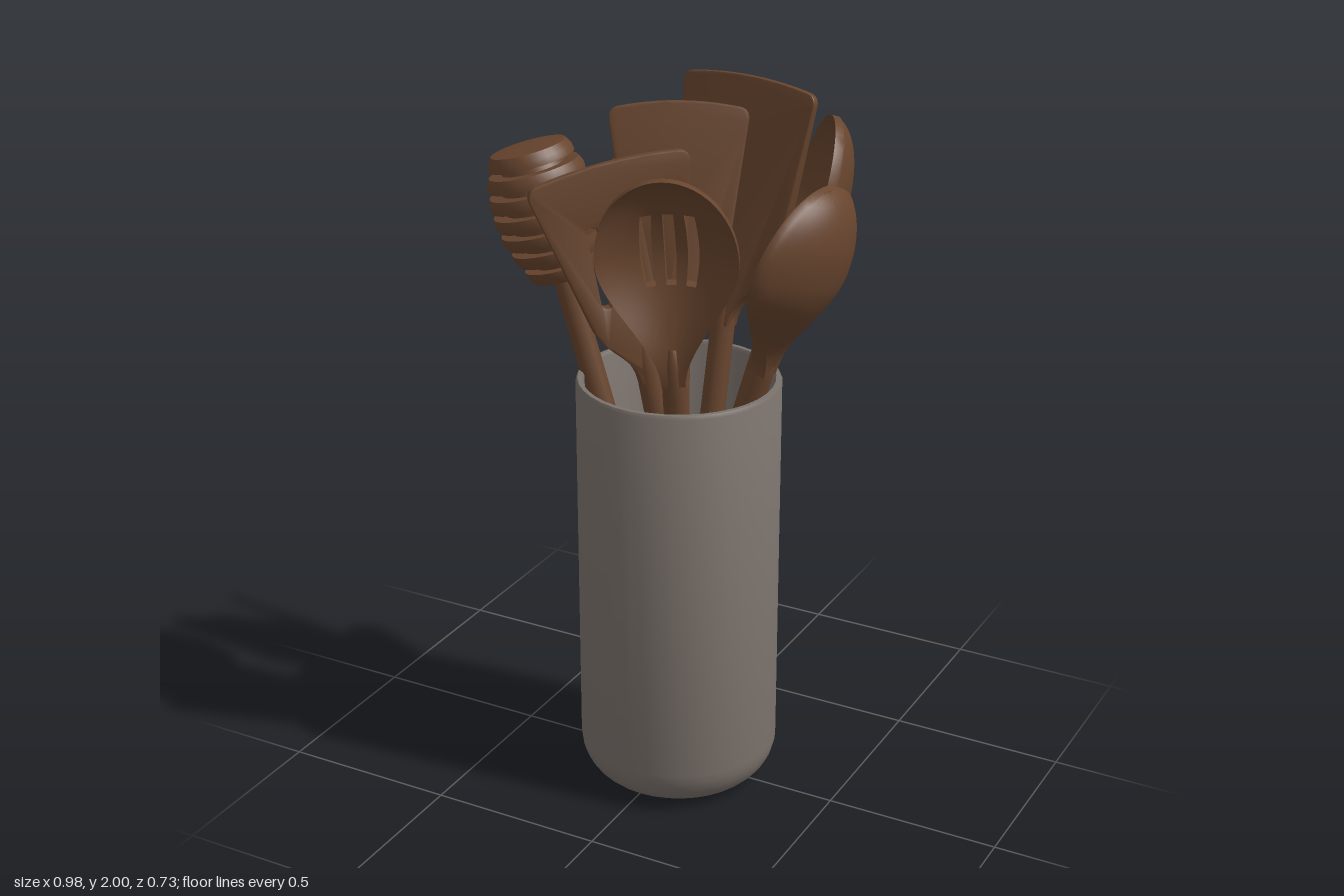
import * as THREE from 'three';
import { toCreasedNormals } from 'three/addons/utils/BufferGeometryUtils.js';

const V2 = (x, y) => new THREE.Vector2(x, y);
const wood = new THREE.MeshStandardMaterial({ color: 0x68452e });
wood.name = 'dark wood';
const stone = new THREE.MeshStandardMaterial({ color: 0x7b726c });
stone.name = 'grey stoneware';

function part(name, geometry, material = wood) {
  const mesh = new THREE.Mesh(geometry, material);
  mesh.name = name;
  return mesh;
}

// Group whose local y runs from bottom to top and whose local z turns to the facing direction
function utensil(name, bottom, top, facing, build) {
  const a = new THREE.Vector3(...bottom), b = new THREE.Vector3(...top);
  const y = b.clone().sub(a), length = y.length();
  y.normalize();
  const x = y.clone().cross(new THREE.Vector3(...facing)).normalize();
  const group = new THREE.Group();
  group.name = name;
  group.add(...build(length));
  group.quaternion.setFromRotationMatrix(new THREE.Matrix4().makeBasis(x, y, x.clone().cross(y)));
  group.position.copy(a);
  return group;
}

// Round stick with a domed foot and a tapering upper end
function handle(length) {
  const pts = [V2(0, 0), V2(0.018, 0.005), V2(0.03, 0.022), V2(0.034, 0.05),
    V2(0.036, length * 0.6), V2(0.034, length - 0.12), V2(0.026, length - 0.05), V2(0.012, length), V2(0, length)];
  return part('handle', new THREE.LatheGeometry(pts, 16));
}

// Flat blade, thinner towards its tip, with optional slots
function spatula(half, ratio, bladeLength, slots = false) {
  return (L) => {
    const low = half * ratio, yTop = L - 0.02, yLow = L - bladeLength * 0.68, yNeck = L - bladeLength;
    const s = new THREE.Shape();
    s.moveTo(-0.03, yNeck);
    s.lineTo(0.03, yNeck);
    s.bezierCurveTo(0.035, yNeck + 0.1, low * 0.85, yLow - 0.1, low, yLow);
    s.lineTo(half - 0.006, yTop - 0.04);
    s.quadraticCurveTo(half, yTop - 0.005, half - 0.035, yTop);
    s.quadraticCurveTo(0, yTop + 0.03, -half + 0.035, yTop);
    s.quadraticCurveTo(-half, yTop - 0.005, -half + 0.006, yTop - 0.04);
    s.lineTo(-low, yLow);
    s.bezierCurveTo(-low * 0.85, yLow - 0.1, -0.035, yNeck + 0.1, -0.03, yNeck);
    if (slots) {
      for (const x of [-0.075, 0, 0.075]) {
        const hole = new THREE.Path();
        hole.absarc(x, L - 0.18, 0.016, 0, Math.PI, false);
        hole.absarc(x, L - 0.37, 0.016, Math.PI, Math.PI * 2, false);
        hole.closePath();
        s.holes.push(hole);
      }
    }
    const g = new THREE.ExtrudeGeometry(s, {
      depth: 0.024, bevelEnabled: true, bevelSize: 0.005, bevelThickness: 0.005, bevelOffset: -0.005,
      bevelSegments: 2, curveSegments: 10,
    });
    g.translate(0, 0, -0.012);
    const p = g.attributes.position;
    for (let i = 0; i < p.count; i++) {
      const t = (p.getY(i) - yNeck) / bladeLength;
      p.setZ(i, p.getZ(i) * (1.6 - 1.0 * t));
    }
    return [handle(yNeck + 0.16), part('blade', toCreasedNormals(g, 0.6))];
  };
}

// Hollow bowl from cross-sections; cells left out of the grid become slots
function spoon(half, tipLength, lowLength, depth, slots = false) {
  return (L) => {
    const cols = 24, lowRows = 18, rows = 32, neck = 0.032;
    const sections = [];
    for (let i = 0; i <= rows; i++) {
      if (i <= lowRows) {
        const t = i / lowRows;
        sections.push({ y: L - tipLength - lowLength * (1 - t), w: neck + (half - neck) * t * t * (3 - 2 * t) });
      } else {
        const a = ((i - lowRows) / (rows - lowRows)) * Math.PI / 2;
        sections.push({ y: L - tipLength + tipLength * Math.sin(a), w: Math.max(half * Math.cos(a), 0.001) });
      }
    }
    const point = (i, j, side) => {
      const { y, w } = sections[i], u = (j / cols) * 2 - 1;
      const f = Math.max(0, (w - neck) / (half - neck));
      const h = 0.011 + 0.016 * Math.max(0, 1 - i / lowRows);
      return [u * w, y, -depth * f * (1 - u * u) + side * h];
    };
    const kept = (i, j) => {
      if (i < 0 || j < 0 || i >= rows || j >= cols) return false;
      if (!slots) return true;
      const y = L - (sections[i].y + sections[i + 1].y) / 2;
      return !(y > 0.12 && y < 0.34 && [7, 8, 11, 12, 15, 16].includes(j));
    };
    const verts = [];
    const quad = (a, b, c, d) => verts.push(...a, ...b, ...c, ...a, ...c, ...d);
    for (let i = 0; i < rows; i++) {
      for (let j = 0; j < cols; j++) {
        if (!kept(i, j)) continue;
        const c = [[i, j], [i, j + 1], [i + 1, j + 1], [i + 1, j]];
        const front = c.map((k) => point(...k, 1)), back = c.map((k) => point(...k, -1));
        quad(...front);
        quad(back[3], back[2], back[1], back[0]);
        [[i - 1, j], [i, j + 1], [i + 1, j], [i, j - 1]].forEach((n, e) => {
          const q = (e + 1) % 4;
          if (!kept(...n)) quad(back[e], back[q], front[q], front[e]);
        });
      }
    }
    const g = new THREE.BufferGeometry();
    g.setAttribute('position', new THREE.Float32BufferAttribute(verts, 3));
    return [handle(L - tipLength - lowLength + 0.1), part('bowl', toCreasedNormals(g, 0.9))];
  };
}

// Barrel-shaped head cut by ring grooves
function dipper(L) {
  const size = 0.38, rings = 7, base = L - size, pts = [V2(0, base)];
  const radius = (t) => 0.083 + 0.063 * Math.sin(Math.PI * Math.min(1, t * 0.88 + 0.03));
  for (let i = 0; i < rings; i++) {
    const t0 = i / rings, t1 = (i + 0.68) / rings, t2 = (i + 1) / rings;
    pts.push(V2(radius(t0) - 0.004, base + t0 * size), V2(radius((t0 + t1) / 2), base + size * (t0 + t1) / 2),
      V2(radius(t1) - 0.004, base + t1 * size));
    if (i < rings - 1) pts.push(V2(radius(t1) - 0.04, base + t1 * size), V2(radius(t2) - 0.04, base + t2 * size));
  }
  pts.push(V2(0, pts[pts.length - 1].y + 0.012));
  return [handle(base + 0.1), part('groovedHead', toCreasedNormals(new THREE.LatheGeometry(pts, 32), 0.6))];
}

function crock() {
  const R = 0.283, H = 1.23, pts = [V2(0, 0), V2(0.17, 0)];
  for (let i = 1; i <= 8; i++) {
    const a = (i / 8) * Math.PI / 2;
    pts.push(V2(0.17 + 0.113 * Math.sin(a), 0.125 * (1 - Math.cos(a))));
  }
  pts.push(V2(R, H - 0.01), V2(R - 0.005, H), V2(R - 0.017, H), V2(R - 0.022, H - 0.01),
    V2(R - 0.022, 0.13), V2(0.2, 0.05), V2(0, 0.04));
  const mesh = part('crock', toCreasedNormals(new THREE.LatheGeometry(pts, 36), 0.6), stone);
  mesh.position.set(0.018, 0, 0.018);
  return mesh;
}

export function createModel() {
  const model = new THREE.Group();
  model.name = 'utensilCrock';
  model.add(
    crock(),
    utensil('honeyDipper', [0.1, 0.1, 0.04], [-0.395, 1.86, 0.11], [0, 0, 1], dipper),
    utensil('slottedSpoon', [0.08, 0.1, 0.02], [0.115, 1.88, 0.295], [0.37, 0, 0.93], spoon(0.187, 0.23, 0.36, 0.09, true)),
    utensil('sideSpoon', [-0.12, 0.1, 0.01], [0.42, 1.81, -0.03], [-1, 0, -0.09], spoon(0.23, 0.22, 0.34, 0.105)),
    utensil('backSpoon', [-0.08, 0.1, 0.04], [0.35, 1.935, -0.245], [-0.83, 0, 0.55], spoon(0.185, 0.24, 0.38, 0.085)),
    utensil('slottedSpatula', [0.21, 0.1, 0.08], [-0.1, 1.875, 0.2], [0.7, 0, 0.7], spatula(0.225, 0.58, 0.62, true)),
    utensil('tallSpatula', [0, 0.1, 0], [0.063, 2.0, -0.315], [-0.13, 0, 0.99], spatula(0.218, 0.74, 0.7)),
    utensil('middleSpatula', [0.1, 0.1, 0.2], [-0.095, 1.94, -0.195], [0.44, 0, 0.9], spatula(0.195, 0.7, 0.62)),
    utensil('shortSpatula', [0.06, 0.1, 0.02], [-0.16, 1.79, -0.22], [0.25, 0, 0.97], spatula(0.155, 0.75, 0.55)),
  );
  return model;
}
